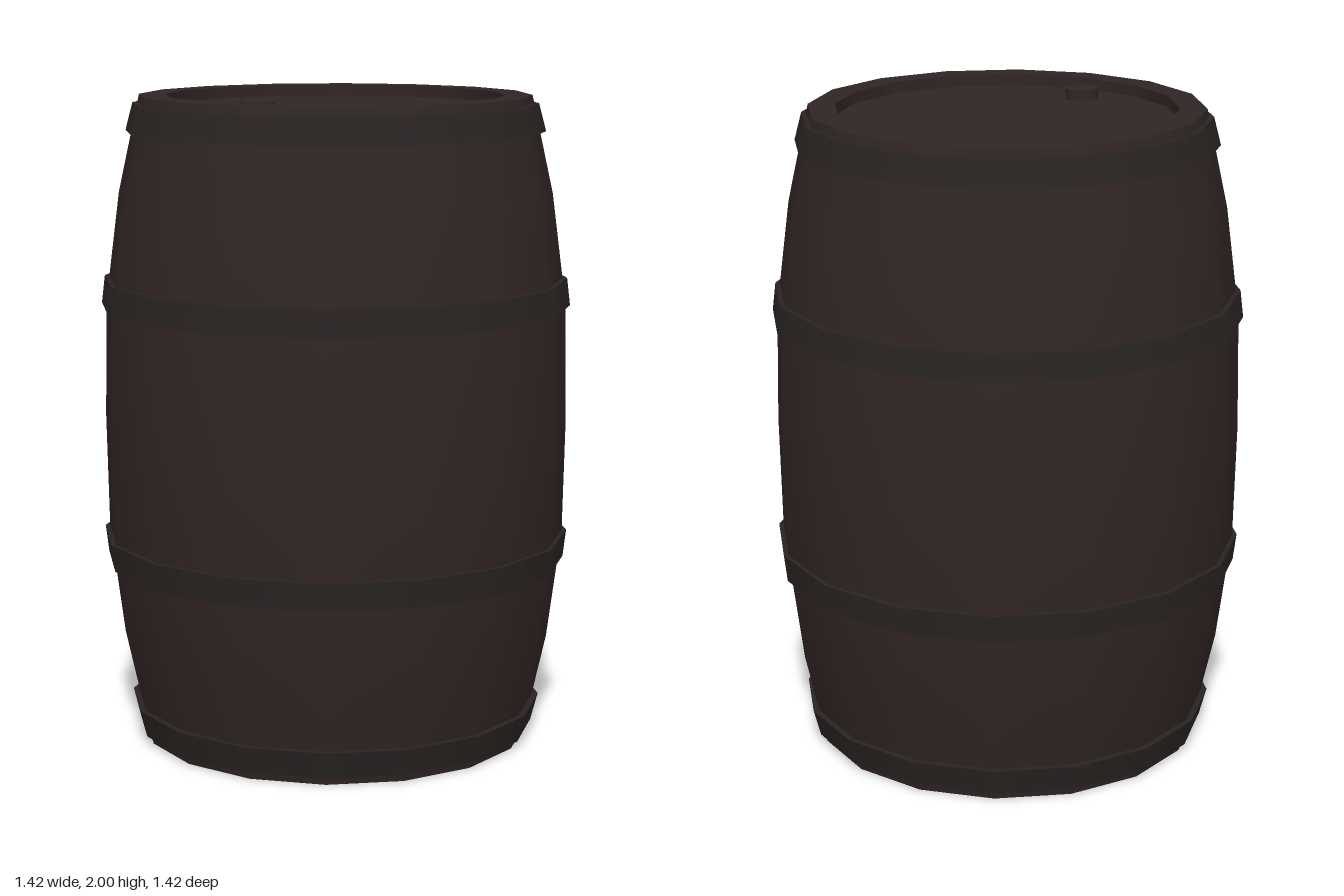
import * as THREE from 'three';

const SIDES = 16;
const APOTHEM = Math.cos(Math.PI / SIDES);

export function createModel() {
  const wood = new THREE.MeshStandardMaterial({ color: 0x302524 });
  wood.name = 'dark wood';
  const iron = new THREE.MeshStandardMaterial({ color: 0x292422 });
  iron.name = 'dark iron';

  const barrel = new THREE.Group();
  barrel.name = 'barrel';

  // Turned strip; radii are measured to the middle of the flats, points run bottom to top outside
  function turned(name, points, material, parent) {
    const profile = points.map(([r, y]) => new THREE.Vector2(r / APOTHEM, y));
    const mesh = new THREE.Mesh(new THREE.LatheGeometry(profile, SIDES, Math.PI / SIDES), material);
    mesh.name = name;
    parent.add(mesh);
  }

  // Bulging staves
  turned('staves', [
    [0.59, 0], [0.655, 0.3], [0.698, 0.64], [0.705, 1],
    [0.698, 1.36], [0.655, 1.7], [0.59, 2],
  ], wood, barrel);

  // Rim, recess wall and head at each end
  const RIM = 0.51, DEPTH = 0.035;
  turned('topRim', [[0.59, 2], [RIM, 2]], wood, barrel);
  turned('topRecessWall', [[RIM, 2], [RIM, 2 - DEPTH]], wood, barrel);
  turned('topHead', [[RIM, 2 - DEPTH], [0, 2 - DEPTH]], wood, barrel);
  turned('bottomHead', [[0, DEPTH], [RIM, DEPTH]], wood, barrel);
  turned('bottomRecessWall', [[RIM, DEPTH], [RIM, 0]], wood, barrel);
  turned('bottomRim', [[RIM, 0], [0.59, 0]], wood, barrel);

  // Hoops: [height, outer radius, inner radius] at the wide and narrow edge, mirrored about the middle
  const hoops = [
    ['endHoop', [1.89, 0.632, 0.605], [1.975, 0.61, 0.59]],
    ['middleHoop', [1.355, 0.712, 0.69], [1.44, 0.702, 0.68]],
  ];
  for (const [name, wide, narrow] of hoops) {
    for (const upper of [true, false]) {
      const hoop = new THREE.Group();
      hoop.name = (upper ? 'upper ' : 'lower ') + name;
      const flip = ([y, outer, inner]) => [2 - y, outer, inner];
      const [low, high] = upper ? [wide, narrow] : [flip(narrow), flip(wide)];
      turned('hoopFace', [[low[1], low[0]], [high[1], high[0]]], iron, hoop);
      turned('hoopTopEdge', [[high[1], high[0]], [high[2], high[0]]], iron, hoop);
      turned('hoopBottomEdge', [[low[2], low[0]], [low[1], low[0]]], iron, hoop);
      barrel.add(hoop);
    }
  }

  // Bung in the top head
  const bung = new THREE.Mesh(new THREE.CylinderGeometry(0.053, 0.053, 0.04, 10), wood);
  bung.name = 'bung';
  bung.position.set(0, 1.978, 0.385);
  barrel.add(bung);

  return barrel;
}
